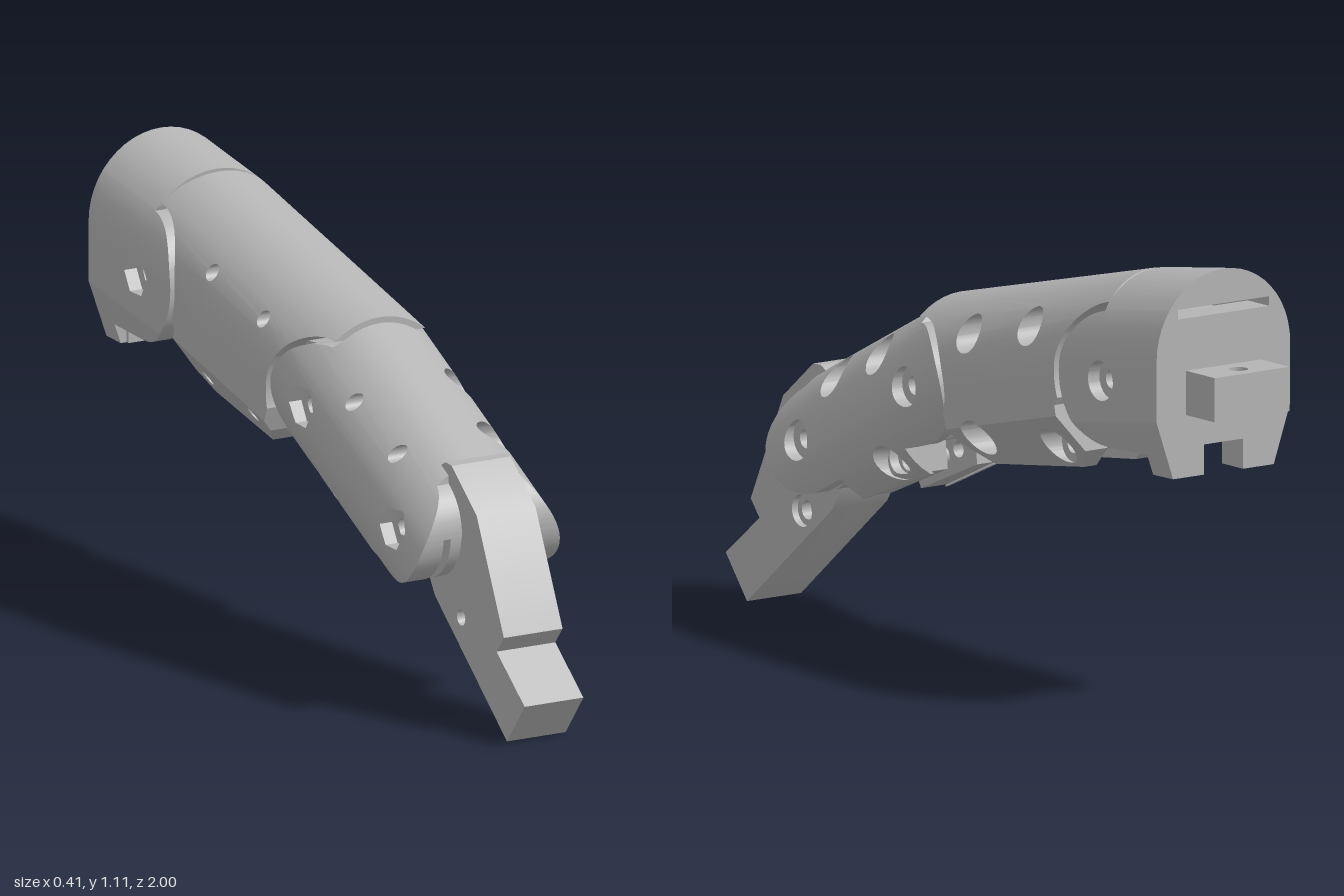
import * as THREE from 'three';
import { toCreasedNormals } from 'three/addons/utils/BufferGeometryUtils.js';

const grey = new THREE.MeshStandardMaterial({ color: 0xb4b4b4, side: THREE.DoubleSide });
grey.name = 'light grey plastic';
const R = 0.205; // radius of the rounded back of each segment
const V = (x, y) => new THREE.Vector2(x, y);
const round = b => Math.sqrt(Math.max(0, R * R - b * b));

// Points on an arc in the (z, y) side plane, angles in degrees
function arc(z, y, r, from, to, n = 20) {
  return Array.from({ length: n + 1 }, (_, i) => {
    const t = THREE.MathUtils.degToRad(from + (to - from) * i / n);
    return [z + r * Math.cos(t), y + r * Math.sin(t)];
  });
}

// Tilted frame of a segment: a runs along its top line pq, b is height above its axis
function frame(p, q) {
  const t = Math.atan2(q[1] - p[1], q[0] - p[0]), c = Math.cos(t), s = Math.sin(t);
  const z0 = p[0] + R * s, y0 = p[1] - R * c;
  return {
    to: ([z, y]) => V((z - z0) * c + (y - y0) * s, (y - y0) * c - (z - z0) * s),
    from: v => [z0 + v.x * c - v.y * s, y0 + v.x * s + v.y * c],
  };
}
const level = { to: p => V(p[0], p[1]), from: v => [v.x, v.y] };

// Part of a polygon between two heights
function band(poly, lo, hi) {
  for (const [h, sign] of [[lo, 1], [hi, -1]]) {
    const out = [];
    poly.forEach((p, i) => {
      const q = poly[(i + 1) % poly.length], dp = (p.y - h) * sign, dq = (q.y - h) * sign;
      if (dp >= 0) out.push(p);
      if (dp * dq < 0) out.push(p.clone().lerp(q, dp / (dp - dq)));
    });
    poly = out;
  }
  return poly;
}

// Mirrored side plates: a side outline with holes, between widths wIn(b) and wOut(b)
function plates(name, fr, outline, wOut, wIn, breaks, holes = []) {
  const pos = [];
  const levels = [-2, 2, ...breaks];
  if (fr !== level) for (let k = -12; k <= 12; k++) levels.push(R * Math.sin(k * Math.PI / 24));
  levels.sort((a, b) => a - b);
  const inner = b => Math.max(0, Math.min(wIn(b), wOut(b)));
  for (const s of [1, -1]) {
    const put = (v, w) => { const [z, y] = fr.from(v); pos.push(s * w(v.y), y, z); };
    const tri = (p, q, r, w, flip) => (flip ? [p, r, q] : [p, q, r]).forEach(v => put(v, w));
    const contour = outline.map(fr.to);
    if (THREE.ShapeUtils.isClockWise(contour)) contour.reverse();
    const cuts = holes.map(h => {
      const r = s > 0 ? h.r : h.back, n = s > 0 || !h.hex ? 24 : 6;
      const ring = arc(h.z, h.y, r, 0, 360, n).slice(0, n).map(fr.to);
      return THREE.ShapeUtils.isClockWise(ring) ? ring : ring.reverse();
    });
    const pts = [contour, ...cuts].flat();
    for (const f of THREE.ShapeUtils.triangulateShape(contour, cuts)) {
      let t = f.map(i => pts[i]);
      if (THREE.ShapeUtils.area(t) < 0) t = t.reverse();
      for (let i = 0; i + 1 < levels.length; i++) {
        const g = band(t, levels[i], levels[i + 1]);
        for (let k = 1; k + 1 < g.length; k++) {
          tri(g[0], g[k], g[k + 1], wOut, s > 0);
          if (g.some(v => inner(v.y) > 0)) tri(g[0], g[k], g[k + 1], inner, s < 0);
        }
      }
    }
    // Rims of the outline and the holes
    for (const loop of [contour, ...cuts]) loop.forEach((p, i) => {
      const q = loop[(i + 1) % loop.length];
      const ts = levels.map(h => (h - p.y) / (q.y - p.y)).filter(t => t > 0 && t < 1);
      const chain = [0, ...ts.sort((a, b) => a - b), 1].map(t => p.clone().lerp(q, t));
      for (let k = 0; k + 1 < chain.length; k++) {
        const quad = [[chain[k], wOut], [chain[k + 1], wOut], [chain[k + 1], inner], [chain[k], inner]];
        for (const j of s > 0 ? [0, 1, 2, 0, 2, 3] : [0, 2, 1, 0, 3, 2]) put(...quad[j]);
      }
    });
  }
  let geo = new THREE.BufferGeometry();
  geo.setAttribute('position', new THREE.Float32BufferAttribute(pos, 3));
  geo = toCreasedNormals(geo.scale(100, 100, 100), 0.5).scale(0.01, 0.01, 0.01);
  const group = new THREE.Group();
  group.name = name;
  const add = (g, n) => { const m = new THREE.Mesh(g, grey); m.name = n; group.add(m); return m; };
  add(geo, name + 'Body');
  // Counterbore floors and their bolt tubes
  for (const h of holes) for (const s of [1, -1]) {
    if (!h.floor || (s < 0 && !h.hex)) continue;
    const ring = new THREE.RingGeometry(0.024, s > 0 ? h.r : h.back, s < 0 ? 6 : 24).rotateY(s * Math.PI / 2);
    if (s < 0) ring.rotateX(0);
    add(ring, 'boltSeat').position.set(s * h.floor, h.y, h.z);
    const len = h.floor - h.from;
    const tube = new THREE.CylinderGeometry(0.024, 0.024, len, 20, 1, true).rotateZ(Math.PI / 2);
    add(tube, 'boltTube').position.set(s * (h.from + len / 2), h.y, h.z);
  }
  return group;
}

const bolt = (z, y, floor) => ({ z, y, r: 0.046, back: 0.02, floor, from: 0 });
const joint = (z, y) => ({ z, y, r: 0.05, back: 0.054, hex: true, floor: 0.17, from: 0.135 });
const pin = (z, y, r = 0.024) => ({ z, y, r, back: r });
const flat = w => () => w;

export function createModel() {
  const model = new THREE.Group();
  model.name = 'roboticFinger';
  const A = [-0.66, 0.82], B = [0.13, 0.678], C = [0.565, 0.475]; // joint centres

  // Base knuckle
  const fBase = frame([-0.885, 1.11], [-0.62, 1.07]);
  const baseW = b => b > 0 ? round(b) : R - Math.max(0, -b - 0.15) * 0.35;
  model.add(plates('baseSegment', fBase, [
    [-0.62, 1.07], [-0.885, 1.11], [-0.885, 0.605], [-0.81, 0.605], [-0.81, 0.655],
    ...arc(...A, 0.167, -90, 80, 28), [-0.625, 1.0],
  ], baseW, b => b < 0.12 ? 0.14 : 0, [0.1199, 0.1201, -0.15], [joint(...A)]));
  model.add(plates('baseBackWall', level,
    [[-0.885, 0.605], [-0.8, 0.605], [-0.8, 1.0], [-0.885, 1.0]],
    flat(0.142), y => y < 0.68 ? 0.06 : 0, [0.6799, 0.6801]));

  // Mounting peg with a vertical hole
  const peg = new THREE.Shape([V(-0.115, 0.88), V(0.115, 0.88), V(0.115, 1), V(-0.115, 1)]);
  peg.holes.push(new THREE.Path().absarc(0, 0.945, 0.024, 0, Math.PI * 2, true));
  const pegMesh = new THREE.Mesh(new THREE.ExtrudeGeometry(peg, { depth: 0.11, bevelEnabled: false }), grey);
  pegMesh.name = 'mountingPeg';
  pegMesh.rotation.x = -Math.PI / 2;
  pegMesh.position.y = 0.76;
  model.add(pegMesh);

  // Middle segment with chamfered underside and tendon channel
  const fMid = frame([-0.605, 1.067], [0.165, 0.885]);
  const midW = b => b > 0 ? round(b) : R - Math.max(0, -b - 0.12) * 0.8;
  model.add(plates('middleSegment', fMid, [
    [0.165, 0.885], ...arc(...B, 0.165, 78, 195, 24), [-0.055, 0.57], [-0.135, 0.52],
    [-0.455, 0.56], [-0.5, 0.61], [-0.475, 0.73], ...arc(...A, 0.187, -22, 80, 20), [-0.605, 1.067],
  ], midW, b => b < -0.13 ? 0.06 : 0, [-0.12, -0.1299, -0.1301],
  [bolt(-0.095, 0.842, 0.1), bolt(-0.34, 0.9, 0.1), bolt(-0.14, 0.592, 0.1), bolt(-0.415, 0.612, 0.1)]));

  // Tongues of the middle segment inside both forks
  model.add(plates('middleRearTongue', level,
    [...arc(...A, 0.152, 75, 290, 30), [-0.59, 0.67], [-0.45, 0.64], [-0.45, 0.9]],
    flat(0.125), y => y < 0.74 ? 0.04 : 0, [0.7399, 0.7401], [pin(...A)]));
  model.add(plates('middleFrontTongue', level,
    [...arc(...B, 0.143, 100, -110, 30), [0.01, 0.565], [-0.08, 0.56], [-0.08, 0.8]],
    flat(0.125), y => y < 0.62 ? 0.04 : 0, [0.6199, 0.6201], [pin(...B)]));

  // Outer segment, forked at both ends, with its inner core
  const fOut = frame([0.165, 0.87], [0.635, 0.63]);
  model.add(plates('outerSegment', fOut, [
    [0.165, 0.87], [0.635, 0.63], [0.635, 0.6], ...arc(...C, 0.134, 58, -115, 26),
    [0.415, 0.4], [0.385, 0.35], [0.155, 0.445], [0.165, 0.515],
    ...arc(...B, 0.148, -100, -280, 28), [0.165, 0.84],
  ], round, b => b < 0.09 ? Math.min(0.135, round(b) - 0.012) : 0, [0.0899, 0.0901],
  [joint(...B), joint(...C), bolt(0.49, 0.638, 0.06), bolt(0.3, 0.724, 0.06), bolt(0.235, 0.466, 0.11)]));
  model.add(plates('outerCore', fOut,
    [[0.22, 0.7], [0.42, 0.6], [0.42, 0.42], [0.385, 0.355], [0.16, 0.45], [0.17, 0.53]],
    b => Math.min(0.136, round(b) - 0.011), b => b < -0.07 ? 0.045 : 0, [-0.0699, -0.0701],
    [{ z: 0.235, y: 0.466, r: 0.045, back: 0.02 }].map(h => ({ ...h, r: 0.04, y: 0.475 }))));

  // Fingertip and its knuckle
  model.add(plates('fingertipKnuckle', level, arc(...C, 0.132, 0, 352.5, 47),
    flat(0.113), flat(0), [], [pin(...C)]));
  model.add(plates('fingertip', level, [
    [0.65, 0.638], [0.77, 0.54], [0.9, 0.263], [0.865, 0.22], [1, 0.113], [0.915, 0.005],
    [0.57, 0.29], [0.53, 0.354], [0.5, 0.45], [0.55, 0.6], [0.62, 0.64],
  ], flat(0.083), flat(0), [],
  [pin(...C), { z: 0.695, y: 0.265, r: 0.04, back: 0.02, floor: 0.065, from: 0 }]));
  return model;
}
